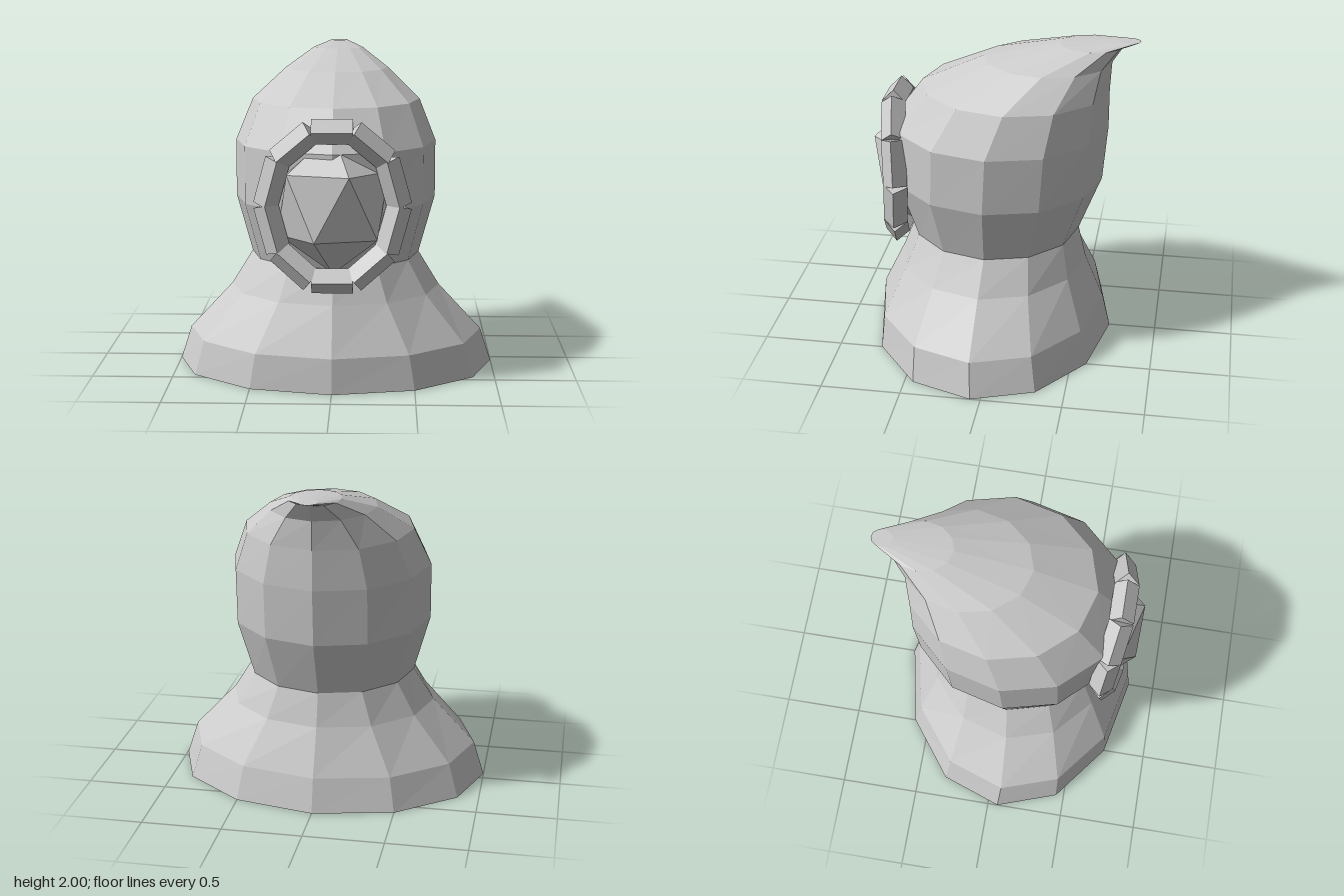
import * as THREE from 'three';

const SIDES = 12;

// Skin a stack of 12-sided elliptical rings: [y, half width, front z, back z]
function loft(rings, capBottom, capTop) {
  const pos = [], idx = [];
  for (const [y, rx, front, back] of rings) {
    const c = (front + back) / 2, rz = (front - back) / 2;
    for (let i = 0; i < SIDES; i++) {
      const a = (i / SIDES) * Math.PI * 2;
      pos.push(rx * Math.sin(a), y, c + rz * Math.cos(a));
    }
  }
  for (let r = 0; r < rings.length - 1; r++) {
    for (let i = 0; i < SIDES; i++) {
      const j = (i + 1) % SIDES;
      const a = r * SIDES + i, b = r * SIDES + j, c = a + SIDES, d = b + SIDES;
      idx.push(a, b, d, a, d, c);
    }
  }
  const top = (rings.length - 1) * SIDES;
  for (let i = 1; i < SIDES - 1; i++) {
    if (capBottom) idx.push(0, i + 1, i);
    if (capTop) idx.push(top, top + i, top + i + 1);
  }
  const g = new THREE.BufferGeometry();
  g.setAttribute('position', new THREE.Float32BufferAttribute(pos, 3));
  g.setIndex(idx);
  const flat = g.toNonIndexed();
  flat.computeVertexNormals();
  return flat;
}

export function createModel() {
  const model = new THREE.Group();
  model.name = 'hoodedHead';
  const grey = new THREE.MeshStandardMaterial({ color: 0xcccccc, flatShading: true });
  grey.name = 'light grey';

  const add = (name, geometry, parent = model) => {
    const m = new THREE.Mesh(geometry, grey);
    m.name = name;
    parent.add(m);
    return m;
  };

  // Flared shoulders with a closed base
  const neck = [0.715, 0.53, 0.585, -0.48];
  add('shoulders', loft([
    [0, 1, 0.83, -0.7],
    [0.215, 0.93, 0.81, -0.65],
    [0.505, 0.66, 0.67, -0.53],
    neck,
  ], true, false));

  // Hood sweeping back to a small point
  add('hood', loft([
    neck,
    [1.075, 0.63, 0.71, -0.62],
    [1.43, 0.63, 0.705, -0.65],
    [1.68, 0.53, 0.52, -0.65],
    [1.86, 0.33, 0.13, -0.66],
    [1.97, 0.16, -0.34, -0.73],
    [2.0, 0.055, -0.7, -0.83],
  ], false, true));

  // Faceted face: an icosahedron standing on a corner, partly sunk into the hood
  const face = new THREE.IcosahedronGeometry(0.436, 0);
  face.rotateZ(-Math.atan(2 / (1 + Math.sqrt(5))));
  face.scale(0.855, 1, 0.7);
  face.translate(0, 1.115, 0.56);
  add('face', face);

  // Oval rim of ten square bars set on edge, bowed around the hood
  const rim = new THREE.Group();
  rim.name = 'faceRim';
  model.add(rim);
  const corner = (i) => {
    const a = (i / 10) * Math.PI * 2;
    const x = 0.4 * Math.cos(a);
    return new THREE.Vector3(x, 1.115 + 0.473 * Math.sin(a), 0.69 - 0.4 * x * x);
  };
  for (let i = 0; i < 10; i++) {
    const p = corner(i), q = corner(i + 1);
    const along = q.clone().sub(p);
    const bar = new THREE.CylinderGeometry(0.076, 0.076, along.length(), 4);
    along.normalize();
    const out = along.clone().cross(new THREE.Vector3(0, 0, 1)).normalize();
    const front = out.clone().cross(along);
    const m = new THREE.Matrix4().makeBasis(out, along, front);
    m.setPosition(p.add(q).multiplyScalar(0.5));
    bar.applyMatrix4(m);
    add('rimBar' + (i + 1), bar, rim);
  }

  return model;
}
